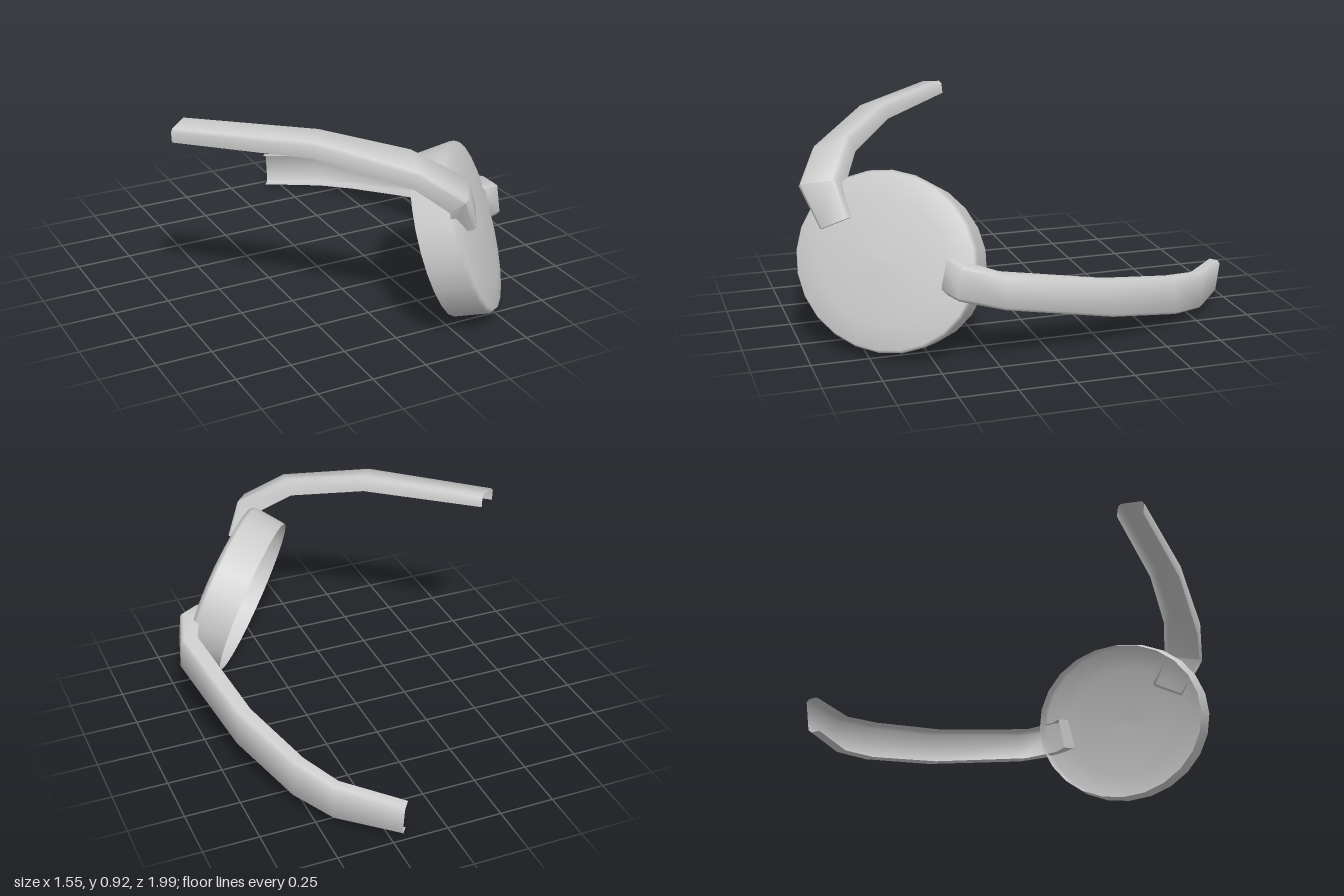
import * as THREE from 'three';
import { toCreasedNormals } from 'three/addons/utils/BufferGeometryUtils.js';

const material = new THREE.MeshStandardMaterial({ color: 0xcccccc, side: THREE.DoubleSide });
const vec = (p) => new THREE.Vector3(...p);

// Channel-shaped strap: each station is [edge a, edge b] of the outer web,
// with two flanges folded inward that get shallower towards the open end.
function strapGeometry(stations, depthStart, depthEnd, bevel = 0.013) {
  const edges = stations.map(([a, b]) => [vec(a), vec(b)]);
  const mids = edges.map(([a, b]) => a.clone().add(b).multiplyScalar(0.5));
  const last = mids.length - 1;
  const rings = edges.map(([a, b], i) => {
    const tangent = mids[Math.min(i + 1, last)].clone().sub(mids[Math.max(i - 1, 0)]);
    const w = b.clone().sub(a).normalize();
    const inward = w.clone().cross(tangent).normalize();
    const depth = THREE.MathUtils.lerp(depthStart, depthEnd, i / last);
    const at = (p, side, down) => p.clone().addScaledVector(w, side).addScaledVector(inward, down);
    return [at(a, 0, depth), at(a, 0, bevel), at(a, bevel, 0),
      at(b, -bevel, 0), at(b, 0, bevel), at(b, 0, depth)];
  });
  // closing fold at the shell end
  const f = rings[0];
  rings.unshift([f[0], f[0], f[0].clone().lerp(f[5], 0.1), f[0].clone().lerp(f[5], 0.9), f[5], f[5]]);

  const n = 6, index = [];
  for (let i = 0; i < rings.length - 1; i++) {
    for (let j = 0; j < n - 1; j++) {
      const p = i * n + j;
      index.push(p, p + 1, p + n, p + 1, p + n + 1, p + n);
    }
  }
  const g = new THREE.BufferGeometry().setFromPoints(rings.flat());
  g.setIndex(index);
  return toCreasedNormals(g, 1.0);
}

function addMesh(group, name, geometry) {
  const mesh = new THREE.Mesh(geometry, material);
  mesh.name = name;
  group.add(mesh);
}

export function createModel() {
  const group = new THREE.Group();
  group.name = 'eyePatch';

  // Shallow oval cup with a domed face, open at the back, tilted outward and slightly up
  const profile = [[0.955, -0.175], [1, -0.018], [0.97, 0.002], [0.7, 0.02], [0.35, 0.032], [0, 0.036]]
    .map(([r, y]) => new THREE.Vector2(r, y));
  const cup = new THREE.LatheGeometry(profile, 24);
  cup.scale(0.42, 1, 0.383);
  cup.rotateY(-0.25);
  const normal = new THREE.Vector3(0.758, 0.32, 0.568).normalize();
  const across = new THREE.Vector3(-normal.z, 0, normal.x).normalize();
  const up = across.clone().cross(normal);
  cup.applyMatrix4(new THREE.Matrix4().makeBasis(across, normal, up).setPosition(0.437, 0.405, 0.664));
  addMesh(group, 'patchShell', cup);

  // Strap rising over the top
  addMesh(group, 'upperStrap', strapGeometry([
    [[0.347, 0.58, 0.79], [0.283, 0.52, 0.905]],
    [[0.28, 0.73, 0.83], [0.19, 0.695, 0.975]],
    [[0.06, 0.863, 0.72], [0.02, 0.812, 0.88]],
    [[-0.24, 0.922, 0.49], [-0.32, 0.905, 0.6]],
    [[-0.68, 0.917, 0.11], [-0.775, 0.9, 0.19]],
  ], 0.105, 0.06));

  // Strap running back around the side
  addMesh(group, 'sideStrap', strapGeometry([
    [[0.64, 0.315, 0.475], [0.625, 0.455, 0.44]],
    [[0.725, 0.295, 0.42], [0.715, 0.445, 0.4]],
    [[0.778, 0.255, 0.23], [0.765, 0.405, 0.23]],
    [[0.685, 0.135, -0.28], [0.675, 0.297, -0.27]],
    [[0.555, 0.062, -0.63], [0.55, 0.232, -0.62]],
    [[0.44, 0.032, -0.8], [0.44, 0.197, -0.8]],
    [[0.2, 0.008, -0.98], [0.2, 0.162, -1.0]],
  ], 0.095, 0.05));

  return group;
}
